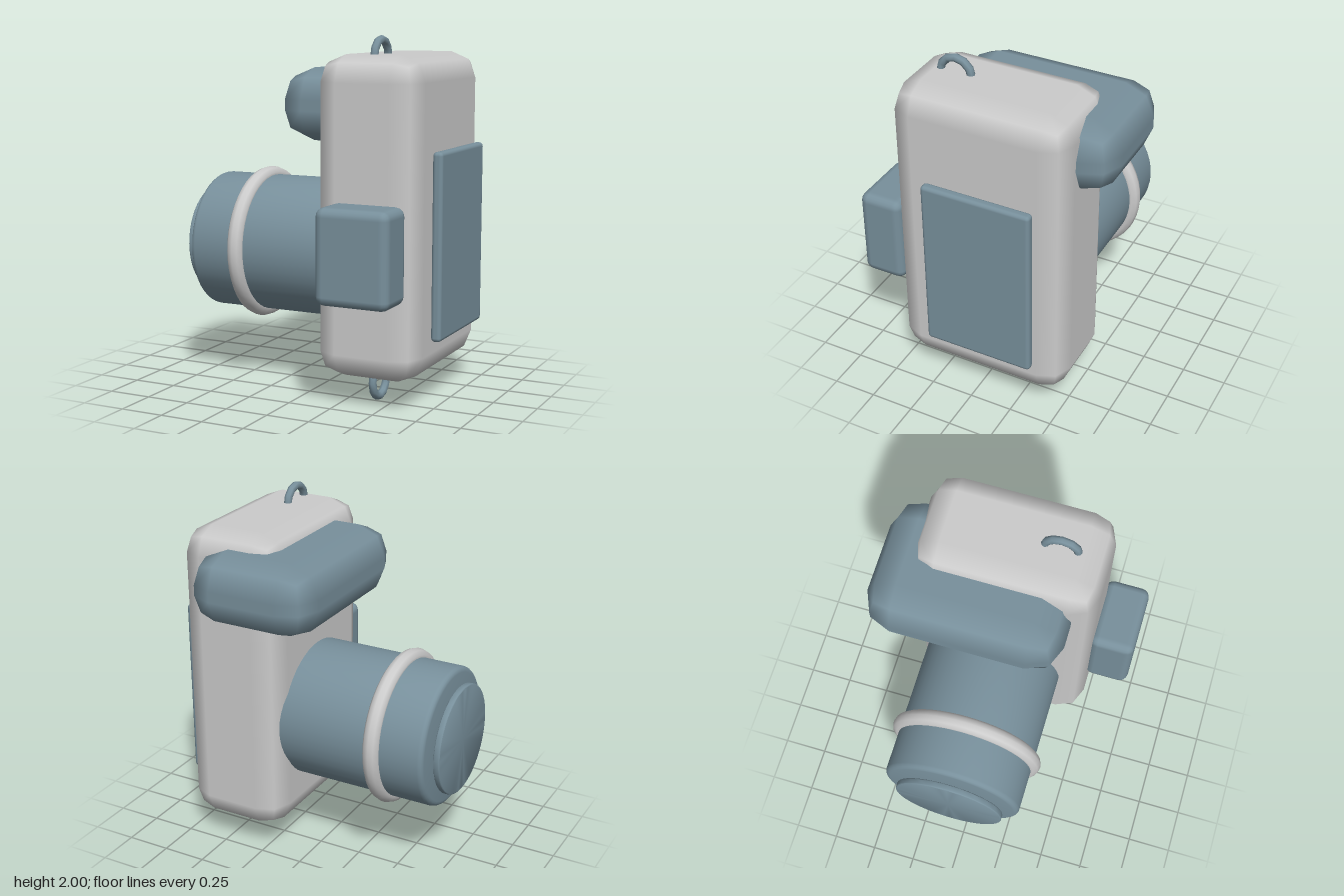
import * as THREE from 'three';
import { RoundedBoxGeometry } from 'three/addons/geometries/RoundedBoxGeometry.js';
import { toCreasedNormals } from 'three/addons/utils/BufferGeometryUtils.js';

const shell = new THREE.MeshStandardMaterial({ color: 0xcccccc });
const trim = new THREE.MeshStandardMaterial({ color: 0x78909c });

const LENS_Y = 0.785, LENS_Z = -0.06;

// Rounded box given by its extents on each axis.
function block(name, material, [x0, x1], [y0, y1], [z0, z1], radius, segments = 1) {
  const geometry = new RoundedBoxGeometry(x1 - x0, y1 - y0, z1 - z0, segments, radius);
  const mesh = new THREE.Mesh(geometry, material);
  mesh.name = name;
  mesh.position.set((x0 + x1) / 2, (y0 + y1) / 2, (z0 + z1) / 2);
  return mesh;
}

// Round-edged cylinder lying along x on the lens axis.
function barrel(name, material, x0, x1, r, bevel) {
  const length = x1 - x0, steps = 4;
  const profile = [new THREE.Vector2(0, 0)];
  for (const [cy, start] of [[bevel, -Math.PI / 2], [length - bevel, 0]]) {
    for (let i = 0; i <= steps; i++) {
      const a = start + (i / steps) * Math.PI / 2;
      profile.push(new THREE.Vector2(r - bevel + bevel * Math.cos(a), cy + bevel * Math.sin(a)));
    }
  }
  profile.push(new THREE.Vector2(0, length));
  const geometry = toCreasedNormals(new THREE.LatheGeometry(profile, 48), 0.6);
  const mesh = new THREE.Mesh(geometry, material);
  mesh.name = name;
  mesh.rotation.z = Math.PI / 2;
  mesh.position.set(x1, LENS_Y, LENS_Z);
  return mesh;
}

// Torus whose axis is x.
function ring(name, material, x, y, z, radius, tube, radial, tubular) {
  const mesh = new THREE.Mesh(new THREE.TorusGeometry(radius, tube, radial, tubular), material);
  mesh.name = name;
  mesh.rotation.y = Math.PI / 2;
  mesh.position.set(x, y, z);
  return mesh;
}

export function createModel() {
  const model = new THREE.Group();
  model.name = 'camera';

  // Body standing on end, with the grip wrapped round its upper corner
  model.add(
    block('body', shell, [0.12, 0.72], [0.155, 1.9], [-0.54, 0.48], 0.145),
    block('grip', trim, [-0.167, 0.57], [1.42, 1.82], [-0.72, 0.362], 0.17),
  );

  // Lens, focus ring and front glass
  model.add(
    barrel('lensBarrel', trim, -0.727, 0.3, 0.395, 0.03),
    ring('focusRing', shell, -0.427, LENS_Y, LENS_Z, 0.393, 0.048, 10, 48),
    barrel('frontGlass', trim, -0.79, -0.753, 0.312, 0.008),
  );

  // Viewfinder hump and rear screen
  model.add(
    block('viewfinder', trim, [0.256, 0.675], [0.613, 1.13], [0.46, 0.718], 0.05, 2),
    block('screen', trim, [0.724, 0.782], [0.37, 1.393], [-0.384, 0.252], 0.022, 2),
  );

  // Strap loops at both ends of the body
  for (const [name, y] of [['topStrapLoop', 1.885], ['bottomStrapLoop', 0.12]]) {
    model.add(ring(name, trim, 0.416, y, 0.22, 0.092, 0.023, 8, 12));
  }
  return model;
}
